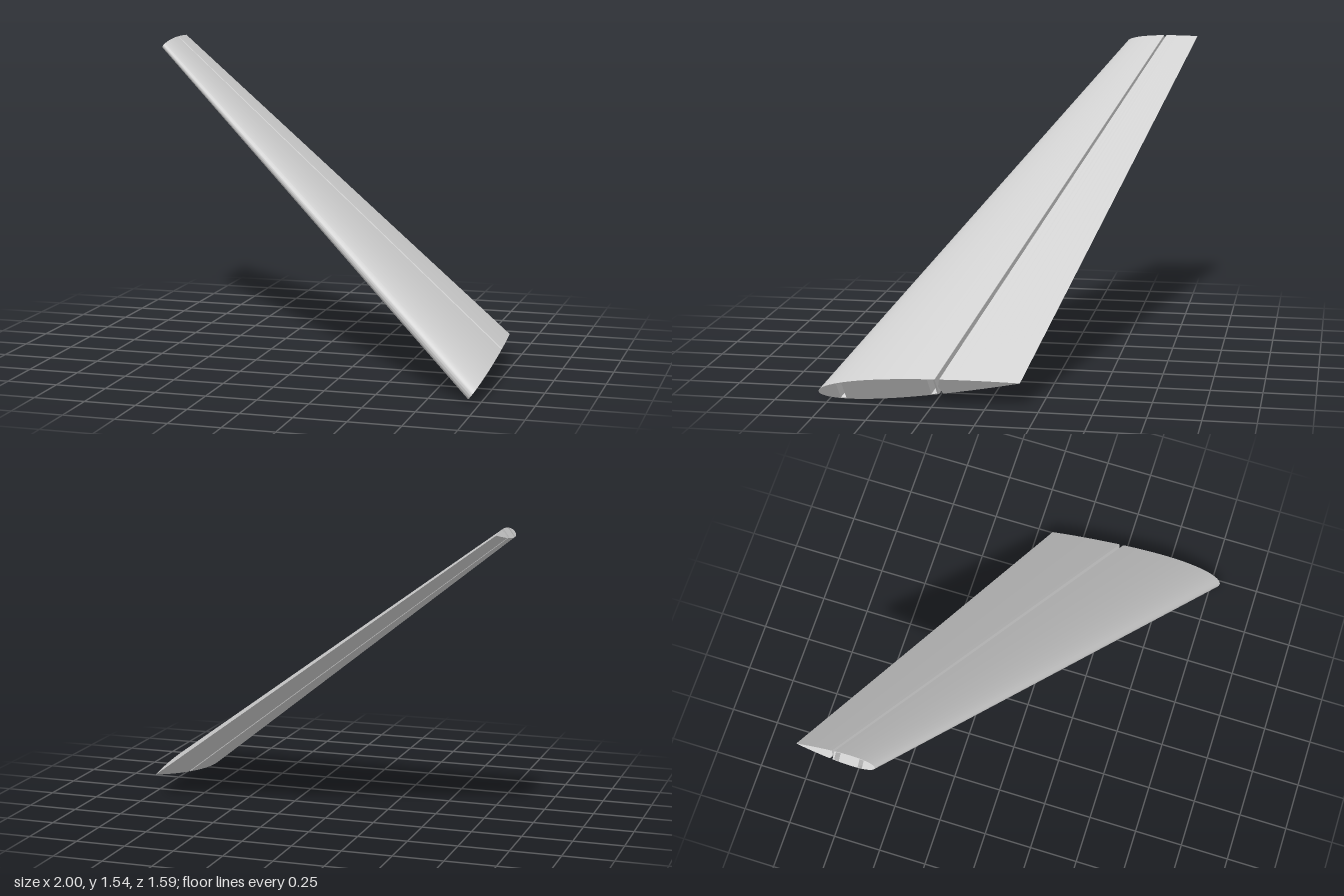
import * as THREE from 'three';
import { toCreasedNormals } from 'three/addons/utils/BufferGeometryUtils.js';

const chordDir = new THREE.Vector3(-0.01, 0.085, -0.996).normalize();
const thickDir = new THREE.Vector3(0.598, 0.8, 0.062).normalize();

// Section data at both ends; distances run along the chord from the leading edge
const root = {
  lead: new THREE.Vector3(0.963, 0.042, 0.797), chord: 0.958,
  rear: 0.567, hinge: 0.588, slots: [[0.096, 0.122], [0.531, 0.559]],
};
const tip = {
  lead: new THREE.Vector3(-0.981, 1.505, -0.419), chord: 0.374,
  rear: 0.197, hinge: 0.209, slots: [[0.057, 0.077], [0.167, 0.189]],
};

// Half thickness of a symmetric 15% airfoil
function half(end, u) {
  const x = Math.min(u / end.chord, 1);
  return 0.75 * end.chord * (0.2969 * Math.sqrt(x) - 0.126 * x - 0.3516 * x ** 2 + 0.2843 * x ** 3 - 0.1036 * x ** 4);
}

// Counter-clockwise outline of the fixed front part
function finOutline(end) {
  const n = 32, lower = [], upper = [];
  for (let i = 0; i <= n; i++) {
    const u = end.rear * (i / n) ** 2;
    lower.push(new THREE.Vector2(u, -half(end, u)));
    if (i > 0) upper.unshift(new THREE.Vector2(u, half(end, u)));
  }
  return [...lower, ...upper];
}

// Outline of the hinged rear part with a V-shaped nose
function flapOutline(end) {
  const n = 12, lower = [], upper = [];
  for (let i = 0; i <= n; i++) {
    const u = end.hinge + (end.chord - end.hinge) * i / n;
    lower.push(new THREE.Vector2(u, -half(end, u)));
    if (i < n) upper.unshift(new THREE.Vector2(u, half(end, u)));
  }
  const nose = new THREE.Vector2(end.rear + 0.25 * (end.hinge - end.rear), 0);
  return [nose, ...lower, ...upper];
}

// Clockwise spar slots, just inside the skin
function slotOutlines(end) {
  return end.slots.map(([a, b]) => {
    const ha = 0.9 * half(end, a), hb = 0.9 * half(end, b);
    return [[a, -ha], [a, ha], [b, hb], [b, -hb]].map(([u, v]) => new THREE.Vector2(u, v));
  });
}

// Tapered solid between the root and tip sections, with through holes
function loft(outline, holes = () => []) {
  const pos = [];
  const place = (end, p) => end.lead.clone().addScaledVector(chordDir, p.x).addScaledVector(thickDir, p.y);
  const tri = (...pts) => pts.forEach((p) => pos.push(p.x, p.y, p.z));
  const rings = [root, tip].map((end) => [outline(end), ...holes(end)]);

  // Skin and slot walls
  rings[0].forEach((ring, k) => {
    const r = ring.map((p) => place(root, p));
    const t = rings[1][k].map((p) => place(tip, p));
    for (let i = 0; i < r.length; i++) {
      const j = (i + 1) % r.length;
      tri(t[i], t[j], r[j]);
      tri(t[i], r[j], r[i]);
    }
  });

  // End caps
  [root, tip].forEach((end, e) => {
    const [outer, ...inner] = rings[e];
    const pts = [outer, ...inner].flat().map((p) => place(end, p));
    for (const [a, b, c] of THREE.ShapeUtils.triangulateShape(outer, inner)) {
      if (e === 0) tri(pts[a], pts[b], pts[c]);
      else tri(pts[a], pts[c], pts[b]);
    }
  });

  const geo = new THREE.BufferGeometry();
  geo.setAttribute('position', new THREE.Float32BufferAttribute(pos, 3));
  return toCreasedNormals(geo, 0.5);
}

export function createModel() {
  const model = new THREE.Group();
  model.name = 'tailSurface';
  const material = new THREE.MeshStandardMaterial({ color: 0xcccccc });
  const add = (name, geometry) => {
    const mesh = new THREE.Mesh(geometry, material);
    mesh.name = name;
    model.add(mesh);
  };
  add('fixedFin', loft(finOutline, slotOutlines));
  add('hingedFlap', loft(flapOutline));
  return model;
}
